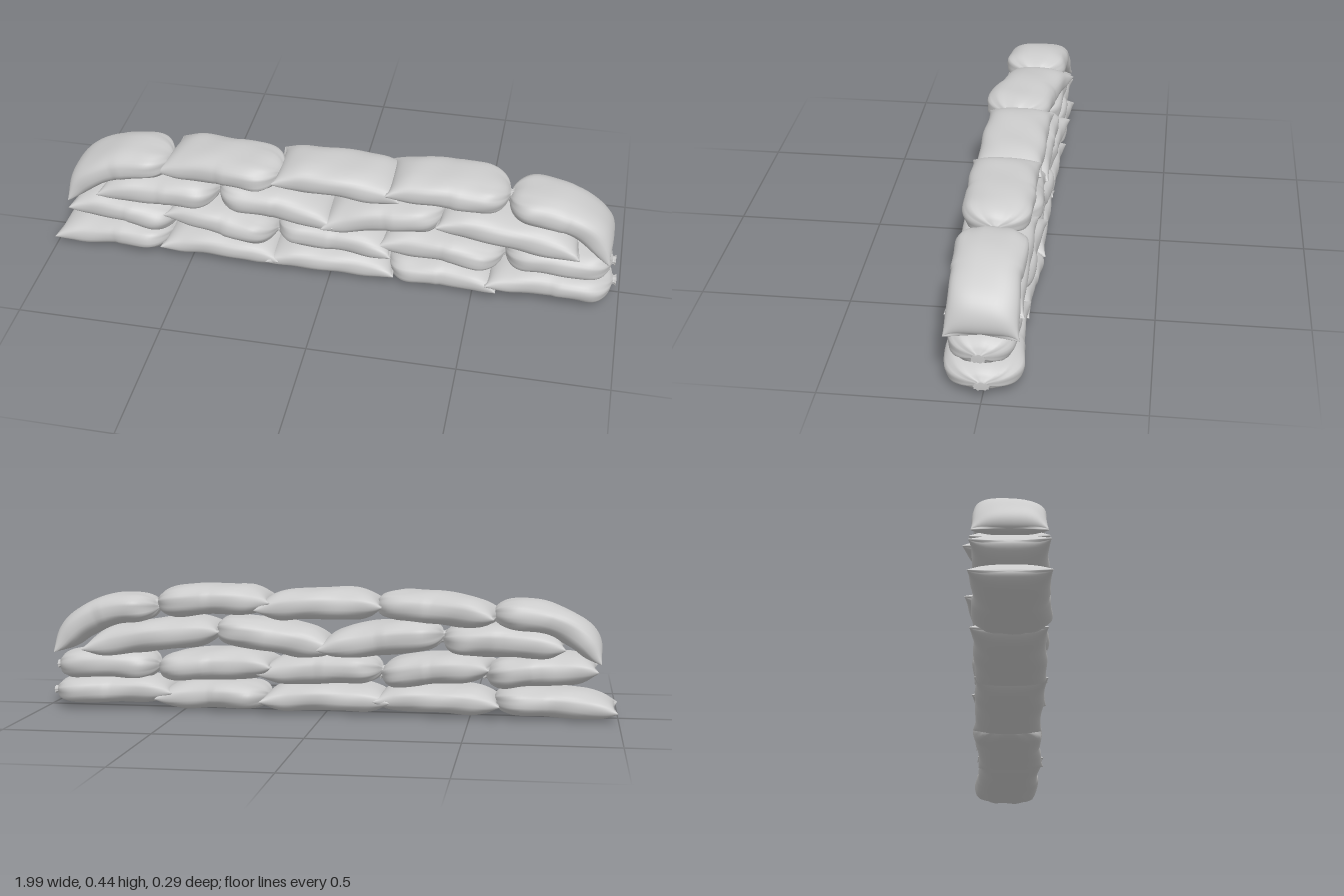
import * as THREE from 'three';

const RINGS = 44, SIDES = 36;

// Relative width and thickness at distance d from a bag's end (d = 1 at the middle)
function endShape(d, tied) {
  if (!tied) {
    const s = Math.min(d / 0.6, 1);
    return [0.96 + 0.06 * Math.exp(-d * 9), 0.08 + 0.92 * Math.pow(1 - Math.pow(1 - s, 2.6), 0.6)];
  }
  const neck = 0.06;
  if (d < neck) { // ruffle beyond the tie
    const f = 1 - d / neck;
    return [0.1 + 0.1 * f, 0.16 + 0.1 * f];
  }
  const s = Math.min((d - neck) / 0.5, 1);
  return [0.1 + 0.9 * Math.pow(1 - Math.pow(1 - s, 2.8), 0.6), 0.16 + 0.84 * Math.pow(1 - Math.pow(1 - s, 2.4), 0.6)];
}

// One filled bag swept along a spine; ends is two letters: f = flat seam, t = tied
function sandbag(spine, halfWidth, halfHeight, ends, seed) {
  const curve = new THREE.CatmullRomCurve3(spine);
  const pos = [], index = [];
  const T = new THREE.Vector3(), N = new THREE.Vector3(), S = new THREE.Vector3();
  const P = new THREE.Vector3(), Z = new THREE.Vector3(0, 0, 1);
  const push = v => pos.push(v.x, Math.max(v.y, 0.003), v.z);

  for (let i = 0; i <= RINGS; i++) {
    const t = 0.5 - 0.5 * Math.cos(Math.PI * i / RINGS);
    const first = t < 0.5, tied = ends[first ? 0 : 1] === 't';
    const d = 2 * Math.min(t, 1 - t);
    const [w, h] = endShape(d, tied);
    curve.getPointAt(t, P);
    curve.getTangentAt(t, T);
    N.crossVectors(Z, T).normalize();
    S.crossVectors(T, N).normalize();
    for (let j = 0; j < SIDES; j++) {
      const a = 2 * Math.PI * j / SIDES, c = Math.cos(a), s = Math.sin(a);
      const cx = Math.sign(c) * Math.pow(Math.abs(c), 0.76);
      const sy = Math.sign(s) * Math.pow(Math.abs(s), 0.76);
      // gathers fan out from the tie, soft lumps elsewhere
      const gather = tied ? 0.12 * Math.exp(-d * 4) * Math.cos(9 * a + seed) : 0;
      const lump = 0.035 * Math.sin(7 * t + 2 * a + seed * 1.7) + 0.025 * Math.sin(15 * t - 3 * a + seed * 2.3);
      const k = gather + lump * Math.min(1, d * 3);
      // corners of a flat seam are drawn out into ears
      const ear = tied ? 0 : (first ? -1 : 1) * 0.014 * c ** 4 * Math.exp(-d * 8);
      push(P.clone()
        .addScaledVector(S, cx * halfWidth * w * (1 + k * 0.6))
        .addScaledVector(N, sy * halfHeight * h * (1 + k))
        .addScaledVector(T, ear));
    }
  }
  for (let i = 0; i < RINGS; i++) {
    for (let j = 0; j < SIDES; j++) {
      const k = (j + 1) % SIDES;
      const a = i * SIDES + j, b = a + SIDES, c = (i + 1) * SIDES + k, e = i * SIDES + k;
      index.push(a, b, c, a, c, e);
    }
  }
  // close both ends
  const start = pos.length / 3, last = RINGS * SIDES;
  push(curve.getPointAt(0));
  push(curve.getPointAt(1));
  for (let j = 0; j < SIDES; j++) {
    const k = (j + 1) % SIDES;
    index.push(start, j, k, start + 1, last + k, last + j);
  }
  const g = new THREE.BufferGeometry();
  g.setAttribute('position', new THREE.Float32BufferAttribute(pos, 3));
  g.setIndex(index);
  g.computeVertexNormals();
  return g;
}

// A spine between two joints: tilt is the rise from left to right, skew the turn towards +z
function spineBetween(x0, x1, y, tilt, skew) {
  return [-0.5, 0, 0.5].map(f =>
    new THREE.Vector3(x0 + (x1 - x0) * (f + 0.5), y + tilt * f + (f ? -0.004 : 0.006), 0.01 + skew * f));
}

// A spine that runs level from the inner joint, then drops over the end of the wall
function droopingSpine(outer, inner, y) {
  const spine = [[0, -0.145], [0.17, -0.07], [0.5, -0.014], [1, 0]].map(([f, drop]) =>
    new THREE.Vector3(outer + (inner - outer) * f, y + drop, 0.004));
  return outer < inner ? spine : spine.reverse();
}

// Courses of bags; neighbours meet at the joints along x, lift shifts single bags up or down
const COURSES = [
  { name: 'bottomCourse', y: 0.053, halfHeight: 0.05, halfWidth: 0.121,
    joints: [-0.985, -0.58, -0.2, 0.2, 0.565, 0.985],
    lift: [0, 0.004, 0, 0, 0.012],
    tilt: [0.02, 0.005, -0.005, -0.005, -0.012], skew: [0.01, 0.01, -0.01, 0.02, -0.02],
    ends: ['ft', 'ff', 'ff', 'tf', 'ft'] },
  { name: 'secondCourse', y: 0.155, halfHeight: 0.054, halfWidth: 0.12,
    joints: [-0.92, -0.555, -0.195, 0.2, 0.6, 0.975],
    lift: [0.006, 0.002, -0.003, 0.002, -0.002],
    tilt: [-0.035, -0.045, -0.015, -0.025, -0.005], skew: [0.01, 0.045, 0.025, 0.02, 0],
    ends: ['ft', 'ft', 'tf', 'ft', 'tt'] },
  { name: 'thirdCourse', y: 0.258, halfHeight: 0.057, halfWidth: 0.12,
    joints: [-0.81, -0.405, -0.005, 0.39, 0.84],
    lift: [0.002, 0.002, 0.004, -0.003],
    tilt: [0.015, -0.05, 0.06, -0.065], skew: [0.01, 0.01, -0.02, -0.005],
    ends: ['ft', 'tf', 'ft', 'ff'] },
  { name: 'topCourse', y: 0.372, halfHeight: 0.054, halfWidth: 0.113, droop: true,
    joints: [-0.93, -0.575, -0.175, 0.215, 0.6, 0.945],
    lift: [-0.015, -0.005, 0.003, 0.012, -0.012],
    tilt: [0, 0.03, -0.015, -0.015, 0], skew: [0, 0.075, 0, -0.01, 0],
    ends: ['ft', 'ft', 'ff', 'ft', 'tf'] },
];

export function createModel() {
  const model = new THREE.Group();
  model.name = 'sandbagWall';
  const material = new THREE.MeshStandardMaterial({ color: 0xcccccc });
  let seed = 1;
  for (const { name, y, halfHeight, halfWidth, droop, joints, lift, tilt, skew, ends } of COURSES) {
    const course = new THREE.Group();
    course.name = name;
    const count = ends.length;
    ends.forEach((end, i) => {
      // inner ends overlap their neighbours a little, outer ends stop at the wall's end
      const x0 = joints[i] - (i > 0 ? 0.012 : 0);
      const x1 = joints[i + 1] + (i < count - 1 ? 0.012 : 0);
      const level = y + lift[i];
      let spine = spineBetween(x0, x1, level, tilt[i], skew[i]);
      if (droop && i === 0) spine = droopingSpine(x0, x1, level);
      if (droop && i === count - 1) spine = droopingSpine(x1, x0, level);
      // a bag tied at both ends is drawn in narrower
      const width = end === 'tt' ? halfWidth * 0.88 : halfWidth;
      const mesh = new THREE.Mesh(sandbag(spine, width, halfHeight, end, seed++), material);
      mesh.name = `sandbag${i + 1}`;
      course.add(mesh);
    });
    model.add(course);
  }
  return model;
}
